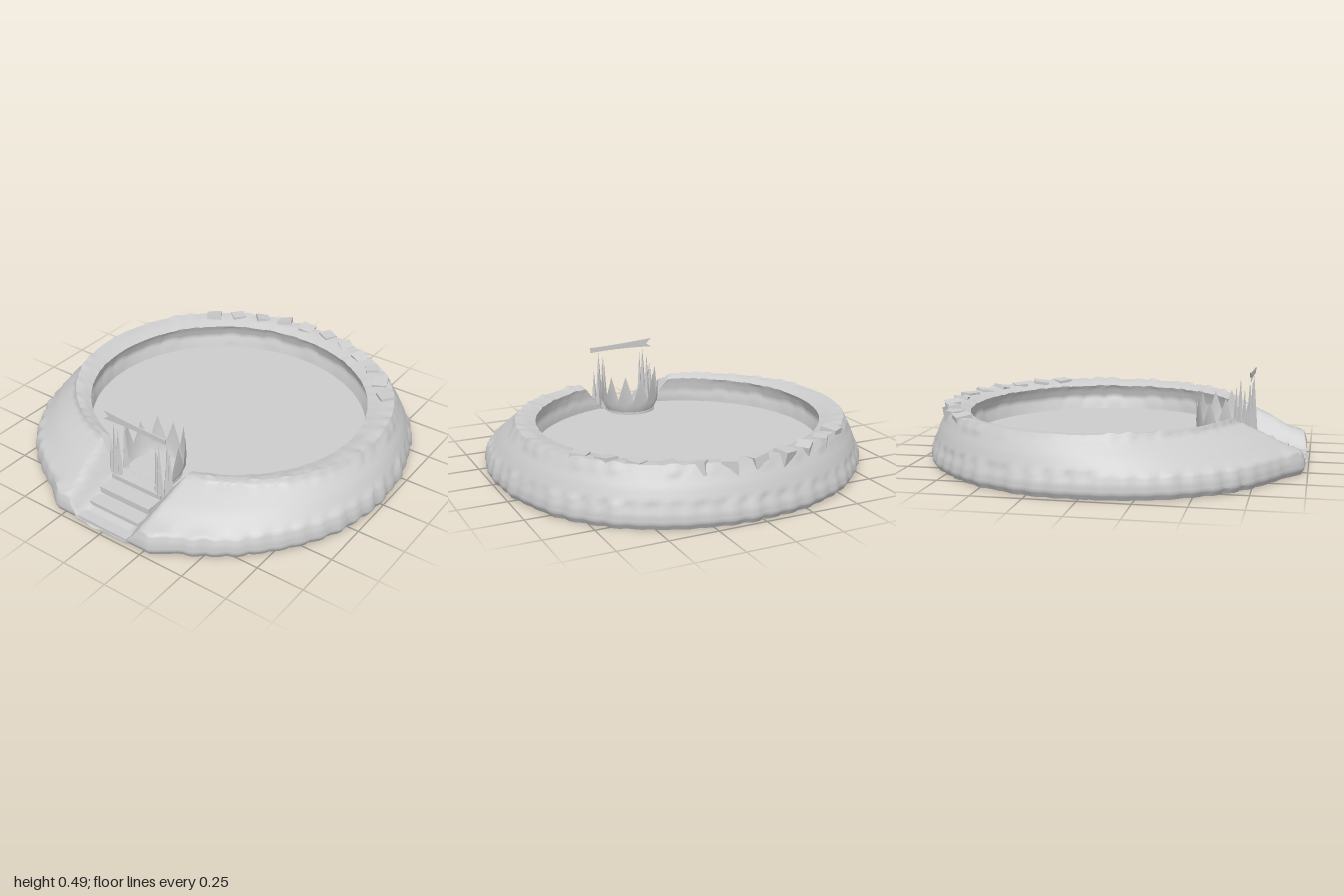
import * as THREE from 'three';
import { toCreasedNormals } from 'three/addons/utils/BufferGeometryUtils.js';

const SEG = 240, FLOOR_Y = 0.115;

function makeRandom(seed) {
  return () => (seed = (seed * 16807) % 2147483647) / 2147483647;
}

// Plan outlines of the ring; angle 0 points to the front
const innerR = a => { const c = Math.cos(a); return 0.735 - 0.0675 * c - 0.0275 * c * c; };
const rimR = a => { const c = Math.cos(a); return 0.87 - 0.115 * c - 0.075 * c * c; };
// The foot swells towards the back left and is squared off below the stairs
const swell = a => 0.04 * Math.pow(Math.max(0, Math.cos(a - 2.36)), 7);
const square = a => {
  const t = Math.min(a, Math.PI * 2 - a);
  return t < 0.29 ? 0.984 / Math.cos(t) - 0.978 : 0.048 * Math.max(0, 1 - (t - 0.29) / 0.15);
};

export function createModel() {
  const model = new THREE.Group();
  const random = makeRandom(4711);
  const stone = new THREE.MeshStandardMaterial({ color: 0xcccccc, side: THREE.DoubleSide });
  stone.name = 'grey stone';

  function add(name, geometry, parent = model) {
    const mesh = new THREE.Mesh(geometry, stone);
    mesh.name = name;
    parent.add(mesh);
    return mesh;
  }
  const flat = g => toCreasedNormals(g, 0.01);

  // Irregular boulders around the foot and along the rim
  const boulders = Array.from({ length: 58 }, () => 0.3 + 0.7 * random());
  const rimStones = Array.from({ length: 64 }, () => random());
  const innerStones = Array.from({ length: 40 }, () => random());
  const scallop = (a, list) => {
    const u = a / (2 * Math.PI) * list.length, i = Math.floor(u), f = u - i;
    return Math.pow(Math.sin(Math.PI * f), 0.7) * list[i % list.length];
  };

  // Cross-section of the ring, from the pool outwards to the foot
  function section(a) {
    const ri = innerR(a), ro = rimR(a) + swell(a) * 0.5, w = ro - ri;
    const foot = 0.978 + swell(a) + Math.max(square(a), 0.022 * scallop(a, boulders));
    const chip = 0.024 * scallop(a, rimStones);
    const lump = 0.015 * scallop(a, innerStones);
    const slope = t => ro + (0.975 + swell(a) - ro) * t;
    const back = 0.008 * (1 - Math.cos(a)) / 2;
    return [
      [ri + 0.01, FLOOR_Y - 0.01], [ri + 0.15 * w, 0.14 + lump], [ri + 0.25 * w, 0.18 + lump],
      [ri + 0.16 * w, 0.225 + lump], [ri + 0.08 * w, 0.25 + chip * 0.3], [ri + 0.48 * w, 0.266 + back],
      [ro - 0.08 * w, 0.268 + chip * 0.7 + back], [ro + chip * 0.5, 0.252],
      [slope(0.24), 0.224], [slope(0.54), 0.184], [slope(0.82), 0.135],
      [foot - 0.018, 0.105 + chip * 0.5], [foot - 0.004, 0.07], [foot, 0.03], [foot - 0.018, 0],
    ];
  }

  // Extra points between neighbours keep the stair cutting smooth
  const refine = profile => profile.flatMap(([r, y], j) => {
    if (j === profile.length - 1) return [[r, y]];
    const [r2, y2] = profile[j + 1];
    return [0, 1 / 3, 2 / 3].map(t => [r + (r2 - r) * t, y + (y2 - y) * t]);
  });

  // Ring wall with a sloping cutting for the stairs at the front
  const points = [], index = [];
  for (let i = 0; i < SEG; i++) {
    const a = i / SEG * Math.PI * 2, profile = refine(section(a)), rows = profile.length;
    profile.forEach(([r, y0], j) => {
      const x = r * Math.sin(a), z = r * Math.cos(a);
      let y = y0;
      if (z > 0.4 && Math.abs(x) < 0.4) {
        const tread = Math.min(0.108, 0.108 - (z - 0.66) * 0.28);
        y = Math.min(y, tread + Math.max(0, Math.abs(x) - 0.15) * 1.3);
      }
      points.push(x, y, z);
      if (j < rows - 1) {
        const p = i * rows + j, q = ((i + 1) % SEG) * rows + j;
        index.push(p, p + 1, q, q, p + 1, q + 1);
      }
    });
  }
  const ring = new THREE.BufferGeometry();
  ring.setAttribute('position', new THREE.Float32BufferAttribute(points, 3));
  ring.setIndex(index);
  add('rockRing', toCreasedNormals(ring, 1));

  // Flat pool floor and underside
  function disc(radius, y, up) {
    const outline = Array.from({ length: 96 }, (_, i) => {
      const a = i / 96 * Math.PI * 2, r = radius(a);
      return new THREE.Vector2(r * Math.sin(a), r * Math.cos(a) * (up ? -1 : 1));
    });
    const g = new THREE.ShapeGeometry(new THREE.Shape(outline));
    return g.rotateX(up ? -Math.PI / 2 : Math.PI / 2).translate(0, y, 0);
  }
  add('poolFloor', disc(a => innerR(a) + 0.02, FLOOR_Y, true));
  add('underside', disc(a => 0.965 + swell(a), 0, false));

  // Loose rocks sunk into the back of the rim
  const rocks = new THREE.Group();
  rocks.name = 'rimRocks';
  model.add(rocks);
  for (let i = 0; i < 11; i++) {
    const a = Math.PI + (i - 5.9) * 0.164, r = 0.88 + 0.015 * (random() - 0.5);
    const size = 0.042 + 0.01 * random();
    const rock = add('rimRock', flat(new THREE.BoxGeometry(size * 1.7, size * 1.5, size * 1.6)), rocks);
    rock.position.set(r * Math.sin(a), 0.252, r * Math.cos(a));
    rock.rotation.set(0.5 * (random() - 0.5), a + 0.9 * (random() - 0.5), 0.5 * (random() - 0.5));
  }

  // Stairs, from the landing down to the foot
  const stairs = new THREE.Group();
  stairs.name = 'stairs';
  model.add(stairs);
  [[0.62, 0.72, 0.126], [0.72, 0.81, 0.1], [0.81, 0.89, 0.065], [0.89, 0.982, 0.034]].forEach(([z0, z1, top]) => {
    const step = add('step', new THREE.BoxGeometry(0.31, top - 0.003, z1 - z0), stairs);
    step.position.set(0, (top + 0.003) / 2, (z0 + z1) / 2);
  });

  // Round-backed landing behind the gate
  const landing = new THREE.Shape();
  landing.moveTo(0.14, -0.65);
  landing.lineTo(0.14, -0.57);
  landing.absarc(0, -0.57, 0.14, 0, Math.PI, false);
  landing.lineTo(-0.14, -0.65);
  add('landing', new THREE.ExtrudeGeometry(landing, { depth: 0.02, bevelEnabled: false, curveSegments: 24 })
    .rotateX(-Math.PI / 2).translate(0, 0.107, 0));

  // Bowl-shaped crown wall around the landing: peaks and valleys alternate
  const crown = new THREE.CylinderGeometry(0.165, 0.165, 1, 14, 2, true, Math.PI / 2 - 0.3, Math.PI + 0.6);
  const pos = crown.attributes.position;
  for (let i = 0; i < pos.count; i++) {
    const row = Math.floor(i / 15), column = i % 15;
    const peak = column % 2 ? 0.315 + 0.035 * Math.abs(Math.sin(column * 2.3)) : 0.205;
    const spread = [1, 0.98, 0.8][row];
    pos.setXYZ(i, pos.getX(i) * spread, [peak, 0.17, 0.112][row], pos.getZ(i) * spread + 0.575);
  }
  crown.computeVertexNormals();
  add('crownWall', crown);

  // Clusters of thin spikes as gate posts
  for (const side of [-1, 1]) {
    const post = new THREE.Group();
    post.name = side > 0 ? 'leftGatePost' : 'rightGatePost';
    model.add(post);
    [[0.14, 0.7, 0.43, 0.024], [0.118, 0.695, 0.41, 0.018], [0.174, 0.69, 0.33, 0.02],
      [0.135, 0.63, 0.41, 0.022], [0.165, 0.65, 0.35, 0.02]].forEach(([x, z, top, r]) => {
      const spike = add('spike', flat(new THREE.ConeGeometry(r, top - 0.11, 4)), post);
      spike.position.set(side * x, (top + 0.11) / 2, z);
    });
  }

  // Thin swallow-tailed banner above the gate
  const banner = new THREE.Shape();
  banner.moveTo(-0.195, 0.435);
  banner.quadraticCurveTo(0, 0.447, 0.185, 0.435);
  banner.lineTo(0.188, 0.463);
  banner.quadraticCurveTo(0, 0.468, -0.195, 0.485);
  banner.lineTo(-0.165, 0.457);
  banner.closePath();
  add('banner', new THREE.ExtrudeGeometry(banner, { depth: 0.006, bevelEnabled: false }).translate(0, 0, 0.7));

  return model;
}
